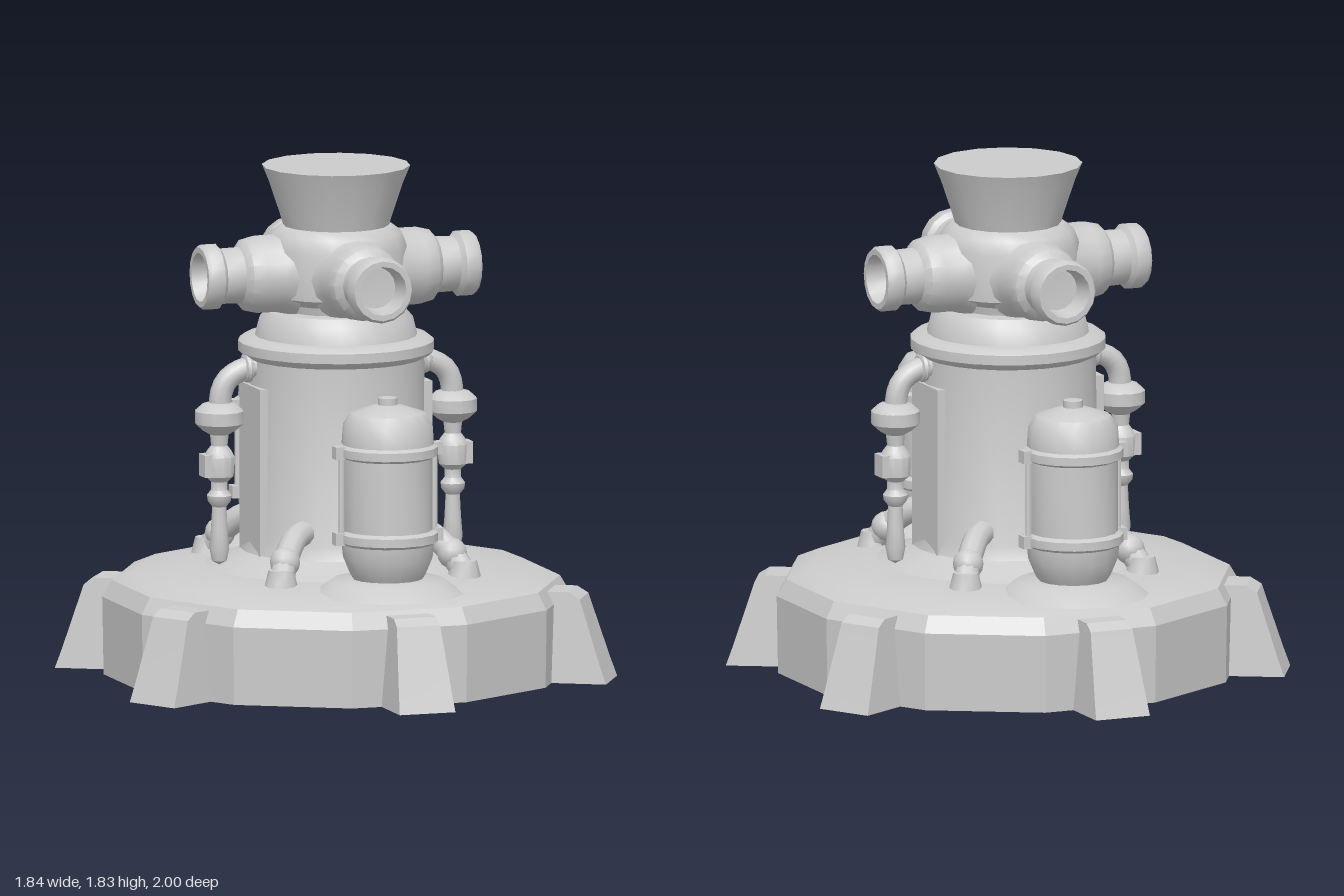
import * as THREE from 'three';
import { toCreasedNormals } from 'three/addons/utils/BufferGeometryUtils.js';

const material = new THREE.MeshStandardMaterial({ color: 0xcccccc });

function mesh(name, geometry, crease = 0.7) {
  const m = new THREE.Mesh(toCreasedNormals(geometry, crease), material);
  m.name = name;
  return m;
}

// Turned part from [radius, height] pairs, listed from bottom to top
function turned(name, profile, sides = 16, crease = 0.7, start = 0) {
  const points = profile.map(([r, y]) => new THREE.Vector2(r, y));
  return mesh(name, new THREE.LatheGeometry(points, sides, start), crease);
}

function group(name, ...parts) {
  const g = new THREE.Group();
  g.name = name;
  g.add(...parts);
  return g;
}

function pipe(name, points, radius) {
  const curve = new THREE.CatmullRomCurve3(points.map(p => new THREE.Vector3(...p)));
  return mesh(name, new THREE.TubeGeometry(curve, 10, radius, 10), 1);
}

// Buttress: sloped wedge, narrower at the top, running out along +x
function buttress() {
  const shape = new THREE.Shape();
  [[0.74, 0], [1, 0], [0.975, 0.07], [0.9, 0.3], [0.86, 0.325], [0.74, 0.325]]
    .forEach(([x, y], i) => (i ? shape.lineTo(x, y) : shape.moveTo(x, y)));
  const geo = new THREE.ExtrudeGeometry(shape, { depth: 0.21, bevelEnabled: false });
  geo.translate(0, 0, -0.105);
  const pos = geo.attributes.position;
  for (let i = 0; i < pos.count; i++) {
    pos.setZ(i, pos.getZ(i) * (1 - 0.75 * pos.getY(i)));
  }
  return mesh('buttress', geo, 0.4);
}

// Hollow outlet pointing along +z, with a thick root and a flanged mouth
function nozzle() {
  const n = turned('nozzle', [
    [0, 0.1], [0.165, 0.18], [0.14, 0.23], [0.14, 0.3], [0.128, 0.35], [0.102, 0.37],
    [0.1, 0.44], [0.118, 0.455], [0.118, 0.5], [0.108, 0.515], [0.088, 0.515],
    [0.075, 0.43], [0, 0.425]]);
  n.rotation.x = Math.PI / 2;
  return group('outlet', n);
}

// Pressure tank with two bands, a cap and clamp bars on both sides
function tank() {
  const g = group('tank', turned('tankBody', [
    [0, 0.4], [0.11, 0.4], [0.135, 0.44], [0.16, 0.5], [0.165, 0.55], [0.18, 0.56],
    [0.18, 0.59], [0.16, 0.6], [0.16, 0.86], [0.18, 0.87], [0.18, 0.9], [0.165, 0.91],
    [0.16, 0.98], [0.135, 1.02], [0.06, 1.045], [0.035, 1.05], [0.035, 1.075], [0, 1.08]]));
  g.add(turned('tankFoot', [[0, 0.37], [0.27, 0.37], [0.2, 0.42], [0, 0.43]], 16));
  for (const s of [-1, 1]) {
    const bar = mesh('clampBar', new THREE.CylinderGeometry(0.013, 0.013, 0.34, 8));
    bar.position.set(s * 0.175, 0.73, 0);
    g.add(bar);
    for (const y of [0.575, 0.885]) {
      const knob = mesh('clampKnob', new THREE.BoxGeometry(0.035, 0.045, 0.045));
      knob.position.set(s * 0.185, y, 0);
      g.add(knob);
    }
  }
  return g;
}

// Valve line on the +x side: elbow from the column, flange wheel, valve block, drop pipe
function valveLine() {
  const elbow = pipe('elbow', [[0.28, 1.12], [0.35, 1.11], [0.41, 1.075], [0.435, 1.02],
    [0.435, 0.95]].map(([x, y]) => [x, y, 0]), 0.04);
  const collar = mesh('collar', new THREE.TorusGeometry(0.04, 0.015, 8, 12));
  collar.rotation.y = Math.PI / 2;
  collar.position.set(0.335, 1.115, 0);
  const drop = turned('valveStack', [
    [0, 0.41], [0.027, 0.425], [0.036, 0.47], [0.03, 0.54], [0.026, 0.62], [0.042, 0.64],
    [0.045, 0.66], [0.03, 0.68], [0.03, 0.71], [0.052, 0.73], [0.056, 0.8], [0.045, 0.82],
    [0.03, 0.84], [0.034, 0.88], [0.06, 0.895], [0.088, 0.92], [0.088, 0.965], [0.06, 0.99],
    [0.04, 0.995], [0, 1]], 12);
  drop.position.x = 0.44;
  const block = mesh('valveBlock', new THREE.BoxGeometry(0.09, 0.08, 0.07));
  block.position.set(0.46, 0.77, 0);
  return group('valveLine', elbow, collar, drop, block);
}

export function createModel() {
  const model = new THREE.Group();
  model.name = 'pumpTower';

  // Twelve-sided base with six buttresses
  model.add(turned('base', [
    [0, 0], [0.83, 0], [0.835, 0.28], [0.8, 0.34], [0.715, 0.375], [0.5, 0.395], [0, 0.41]],
    12, 0.45, Math.PI / 12));
  for (let i = 0; i < 6; i++) {
    const b = buttress();
    b.rotation.y = Math.PI / 2 + i * Math.PI / 3;
    model.add(b);
  }

  // Column with flared foot, collar and shoulder
  model.add(turned('column', [
    [0, 0.37], [0.5, 0.385], [0.4, 0.42], [0.34, 0.45], [0.32, 0.5], [0.315, 1.14],
    [0.335, 1.15], [0.35, 1.165], [0.35, 1.2], [0.33, 1.215], [0.29, 1.22], [0.275, 1.28],
    [0.25, 1.31], [0, 1.32]], 24));

  // Head and funnel top
  model.add(turned('head', [
    [0, 1.3], [0.19, 1.3], [0.2, 1.34], [0.25, 1.37], [0.255, 1.54], [0.235, 1.59],
    [0.2, 1.615], [0, 1.62]], 16));
  model.add(turned('funnel', [
    [0, 1.6], [0.185, 1.6], [0.2, 1.65], [0.24, 1.77], [0.265, 1.83], [0, 1.83]], 16));
  for (let i = 0; i < 4; i++) {
    const n = nozzle();
    n.position.y = 1.45;
    n.rotation.y = i * Math.PI / 2;
    model.add(n);
  }

  for (const s of [-1, 1]) {
    // Front and back tanks, each with a pointed rib behind it on the column
    const t = tank();
    t.position.z = s * 0.565;
    const rib = mesh('rib', new THREE.ConeGeometry(0.07, 0.45, 4), 0.3);
    rib.position.set(0, 0.61, s * 0.335);
    model.add(t, rib);

    // Side valve lines and the raised panels behind them
    const line = valveLine();
    line.rotation.y = s > 0 ? 0 : Math.PI;
    const panel = mesh('sidePanel', new THREE.BoxGeometry(0.05, 0.64, 0.22));
    panel.position.set(s * 0.3, 0.73, 0);
    model.add(line, panel);

    // Diagonal drain pipes from the column to the base
    for (const q of [-1, 1]) {
      const path = [[0.18, 0.55, 0.21], [0.25, 0.535, 0.28], [0.31, 0.47, 0.35],
        [0.345, 0.4, 0.4]].map(([x, y, z]) => [s * x, y, q * z]);
      const joint = mesh('drainJoint', new THREE.SphereGeometry(0.055, 12, 8), 1);
      joint.position.set(s * 0.315, 0.465, q * 0.355);
      const foot = mesh('drainFoot', new THREE.CylinderGeometry(0.045, 0.06, 0.06, 10));
      foot.position.set(s * 0.345, 0.415, q * 0.4);
      model.add(group('drain', pipe('drainPipe', path, 0.045), joint, foot));
    }
  }
  return model;
}
